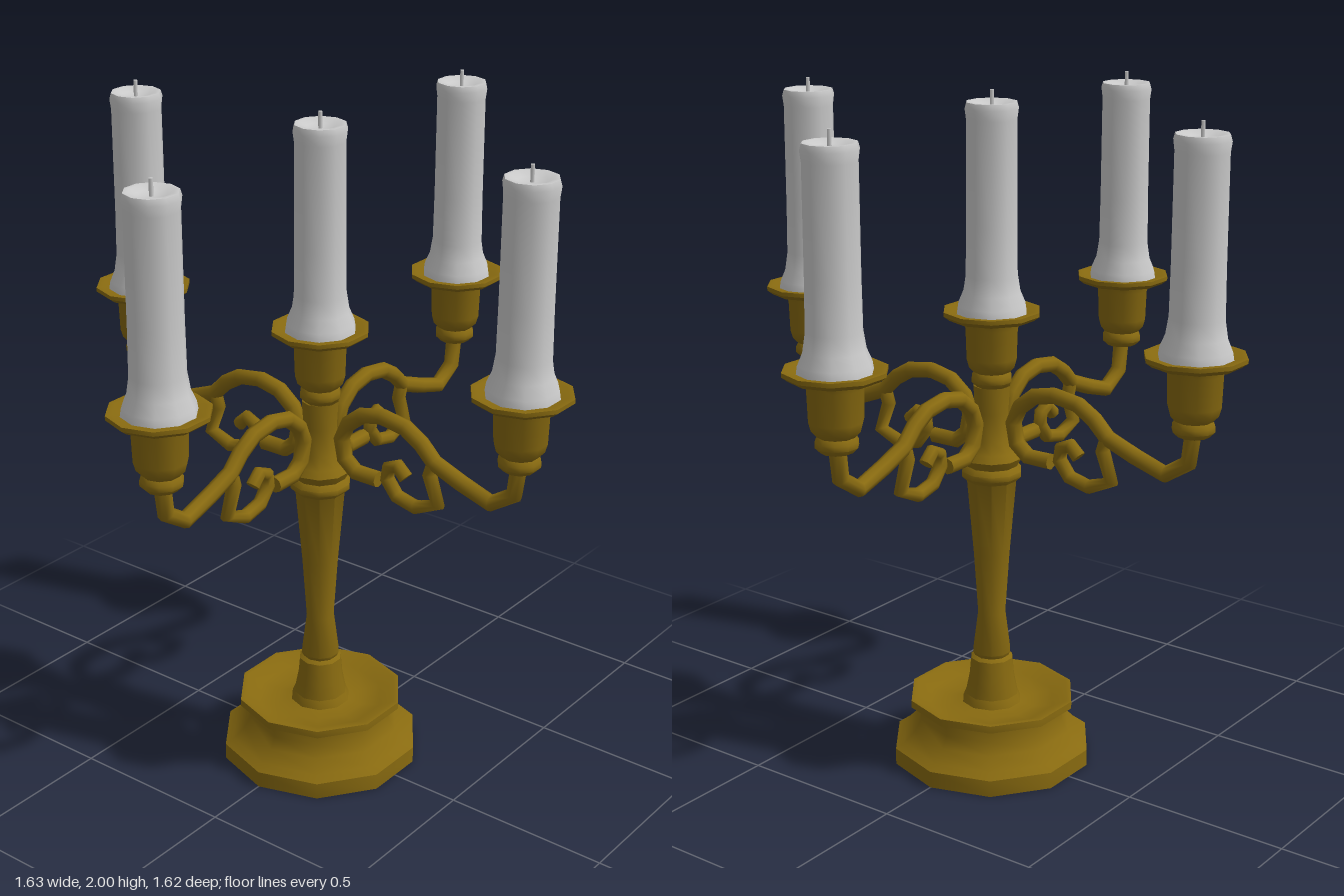
import * as THREE from 'three';
import { toCreasedNormals } from 'three/addons/utils/BufferGeometryUtils.js';

const SIDES = 10;
const brass = new THREE.MeshStandardMaterial({ color: 0x886a10, side: THREE.DoubleSide });
const wax = new THREE.MeshStandardMaterial({ color: 0xcccccc });

// Ten-sided turned part, corners on the x axis
function turned(name, profile, material, sides = SIDES) {
  const points = profile.map(([r, y]) => new THREE.Vector2(r, y));
  const geometry = new THREE.LatheGeometry(points, sides).rotateY(Math.PI / 2);
  const mesh = new THREE.Mesh(toCreasedNormals(geometry, 0.8), material);
  mesh.name = name;
  return mesh;
}

// Path of straight segments, with one tube ring at every point
class Polyline extends THREE.Curve {
  constructor(points) {
    super();
    this.points = points.map(([x, y]) => new THREE.Vector3(x, y, 0));
  }
  getPoint(t, target = new THREE.Vector3()) {
    const n = this.points.length - 1;
    const i = Math.min(Math.floor(t * n), n - 1);
    return target.lerpVectors(this.points[i], this.points[i + 1], t * n - i);
  }
  getUtoTmapping(u) {
    return u;
  }
}

// Bent rod with closed ends
function rod(name, points, radius) {
  const group = new THREE.Group();
  group.name = name;
  const path = new Polyline(points);
  group.add(new THREE.Mesh(new THREE.TubeGeometry(path, points.length - 1, radius, 8), brass));
  for (const t of [0, 1]) {
    const cap = new THREE.Mesh(new THREE.CircleGeometry(radius, 8), brass);
    cap.position.copy(path.getPoint(t));
    const outward = path.getTangent(t).multiplyScalar(t ? 1 : -1);
    cap.quaternion.setFromUnitVectors(new THREE.Vector3(0, 0, 1), outward);
    group.add(cap);
  }
  return group;
}

// Cup with drip plate, candle and wick
function candleHolder(x, y, z) {
  const group = new THREE.Group();
  group.name = 'candleHolder';
  group.position.set(x, y, z);
  group.add(turned('cup', [
    [0, 1.135], [0.045, 1.135], [0.06, 1.15], [0.06, 1.165], [0.052, 1.178], [0.068, 1.195],
    [0.075, 1.22], [0.078, 1.31], [0.085, 1.33], [0.125, 1.335], [0.142, 1.348],
    [0.142, 1.36], [0.125, 1.36], [0.09, 1.348], [0, 1.348],
  ], brass));
  group.add(turned('candle', [
    [0, 1.35], [0.104, 1.35], [0.1, 1.375], [0.085, 1.41], [0.077, 1.46], [0.075, 1.6],
    [0.074, 1.9], [0.078, 1.93], [0.073, 1.947], [0.06, 1.947], [0.04, 1.937], [0, 1.933],
  ], wax));
  const wick = new THREE.Mesh(new THREE.CylinderGeometry(0.006, 0.006, 0.05, 6), wax);
  wick.name = 'wick';
  wick.position.y = 1.955;
  group.add(wick);
  return group;
}

export function createModel() {
  const model = new THREE.Group();
  model.name = 'candelabra';

  // Foot with a dished top
  model.add(turned('base', [
    [0, 0], [0.3, 0], [0.3, 0.05], [0.275, 0.065], [0.24, 0.1], [0.222, 0.135],
    [0.222, 0.172], [0.25, 0.178], [0.25, 0.2], [0.235, 0.2], [0.19, 0.178],
    [0.13, 0.168], [0.09, 0.175], [0.08, 0.2],
  ], brass));

  // Central stem
  model.add(turned('stem', [
    [0.08, 0.2], [0.07, 0.25], [0.064, 0.315], [0.052, 0.323], [0.058, 0.335], [0.042, 0.46],
    [0.055, 0.65], [0.075, 0.875], [0.09, 0.89], [0.09, 0.905], [0.076, 0.92],
    [0.09, 0.945], [0.075, 0.965], [0.055, 1.0], [0.05, 1.08], [0.055, 1.16],
  ], brass));

  // Four branches, each a main rod and a curled scroll
  const reach = 0.675;
  for (let i = 0; i < 4; i++) {
    const branch = new THREE.Group();
    branch.name = 'branch';
    branch.rotation.y = i * Math.PI / 2;
    branch.add(rod('arm', [
      [0.675, 1.15], [0.663, 1.055], [0.59, 1.008], [0.49, 1.04], [0.4, 1.075], [0.355, 1.12],
      [0.3, 1.153], [0.22, 1.165], [0.15, 1.15], [0.1, 1.11], [0.078, 1.06],
      [0.09, 1.0], [0.13, 0.968], [0.21, 0.968],
    ], 0.024));
    branch.add(rod('scroll', [
      [0.4, 1.08], [0.385, 1.035], [0.415, 0.95], [0.34, 0.92], [0.275, 0.935],
      [0.24, 0.98], [0.245, 1.015], [0.275, 1.03], [0.305, 1.0],
    ], 0.021));
    model.add(branch);
    const angle = i * Math.PI / 2;
    model.add(candleHolder(reach * Math.cos(angle), 0, -reach * Math.sin(angle)));
  }

  // Centre holder sits slightly higher
  model.add(candleHolder(0, 0.022, 0));
  return model;
}
